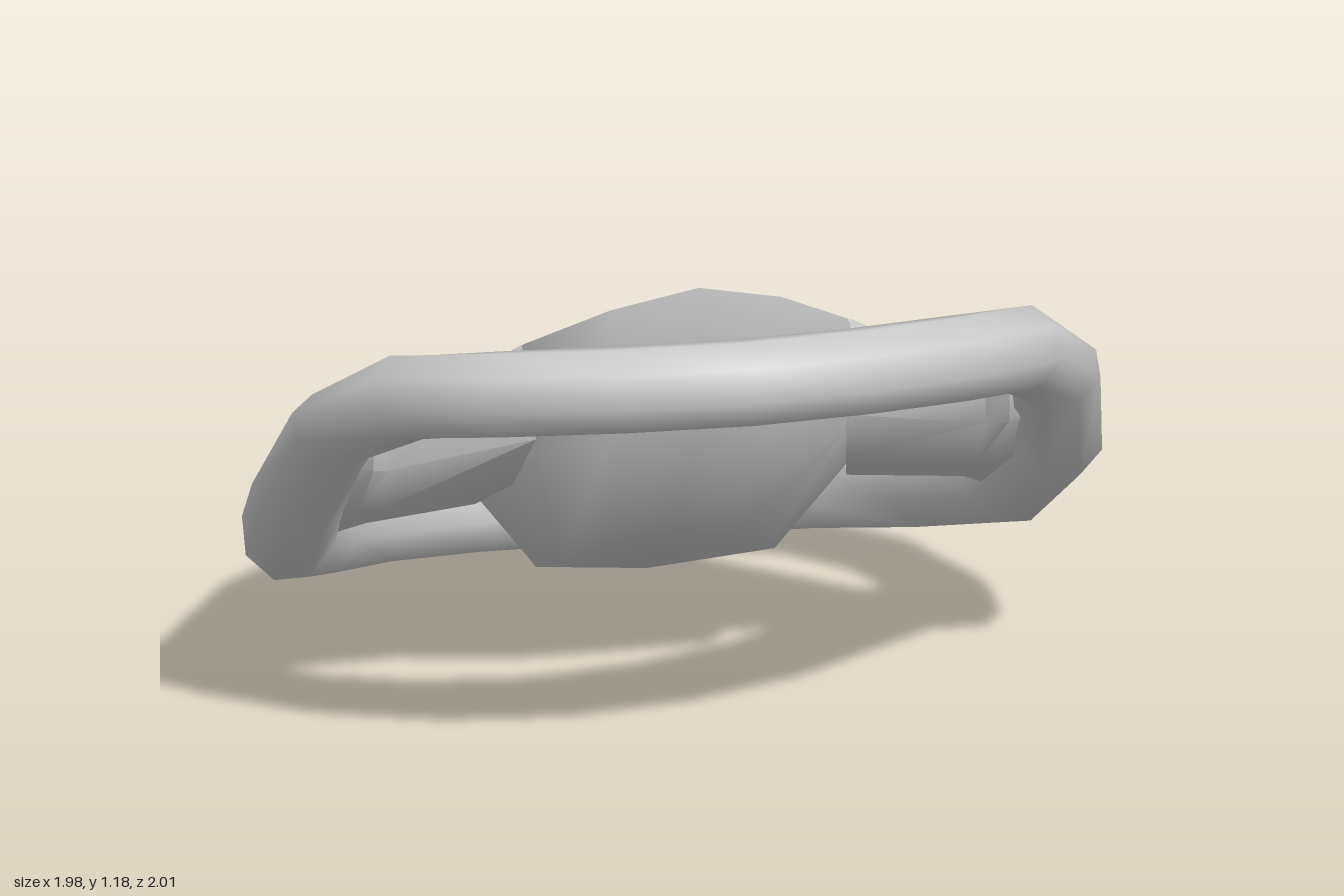
import * as THREE from 'three';
import { toCreasedNormals } from 'three/addons/utils/BufferGeometryUtils.js';

const V = (x, y, z) => new THREE.Vector3(x, y, z);

// Skin between equal-length closed cross-sections; optionally closed along the path
function loft(rings, along = false) {
  const n = rings[0].length, m = rings.length, idx = [];
  const pos = rings.flat().flatMap((p) => [p.x, p.y, p.z]);
  for (let i = 0; i < (along ? m : m - 1); i++) {
    for (let j = 0; j < n; j++) {
      const a = i * n + j, b = i * n + (j + 1) % n;
      const c = ((i + 1) % m) * n + j, d = ((i + 1) % m) * n + (j + 1) % n;
      idx.push(a, c, b, b, c, d);
    }
  }
  const g = new THREE.BufferGeometry();
  g.setAttribute('position', new THREE.Float32BufferAttribute(pos, 3));
  g.setIndex(idx);
  g.computeVertexNormals();
  return g;
}

// Half loop from front centre to back centre, mirrored to the full loop
function mirrorLoop(half) {
  const right = half.map((p) => V(...p));
  const left = half.slice(1, -1).reverse().map(([x, y, z]) => V(-x, y, z));
  return [...right, ...left];
}

// Bent rim: twenty octagonal sections along a curve that steps down to the back,
// each half-path entry giving y, z and the half thickness
function rimGeometry() {
  const half = [[0.116, -0.89, 0.121], [0.135, -0.846, 0.121], [0.184, -0.712, 0.122], [0.263, -0.47, 0.123],
    [0.378, -0.15, 0.118], [0.582, 0.155, 0.104], [0.815, 0.34, 0.09], [0.957, 0.54, 0.104],
    [1.02, 0.728, 0.104], [1.056, 0.85, 0.104], [1.068, 0.895, 0.104]];
  const path = [];
  for (let k = 0; k < 20; k++) {
    const [y, z] = half[k <= 10 ? k : 20 - k];
    path.push(V(0.889 * Math.sin(k * Math.PI / 10), y, z));
  }
  const rings = path.map((p, k) => {
    const h = k <= 10 ? k : 20 - k;
    const a = half[Math.max(h - 1, 0)], b = half[Math.min(h + 1, 10)];
    const t = path[(k + 1) % 20].clone().sub(path[(k + 19) % 20]).normalize();
    const up = V(0, b[1] - a[1], a[0] - b[0]).normalize();
    up.addScaledVector(t, -up.dot(t)).normalize();
    const out = t.clone().cross(up);
    return Array.from({ length: 8 }, (_, j) => {
      const u = (j + 0.5) * Math.PI / 4;
      return p.clone().addScaledVector(out, Math.cos(u) * 0.11).addScaledVector(up, Math.sin(u) * half[h][2]);
    });
  });
  return loft(rings, true);
}

// Deep open dish with a raised front edge
function hubGeometry() {
  const edge = mirrorLoop([[0, 1.11, 0.39], [0.2, 1.06, 0.36], [0.38, 0.95, 0.25], [0.47, 0.76, 0.03],
    [0.45, 0.69, -0.18], [0.38, 0.64, -0.35], [0.22, 0.575, -0.545], [0, 0.575, -0.55]]);
  const wall = mirrorLoop([[0, 0.80, 0.395], [0.2, 0.76, 0.37], [0.36, 0.69, 0.29], [0.43, 0.52, 0.04],
    [0.43, 0.46, -0.17], [0.34, 0.39, -0.33], [0.18, 0.40, -0.475], [0, 0.40, -0.48]]);
  const floor = mirrorLoop([[0, 0.41, 0.12], [0.13, 0.39, 0.10], [0.24, 0.33, 0.05], [0.28, 0.27, -0.08],
    [0.26, 0.23, -0.22], [0.2, 0.21, -0.29], [0.12, 0.2, -0.34], [0, 0.2, -0.35]]);
  const centre = edge.map(() => V(0, 0.21, -0.17));
  return toCreasedNormals(loft([edge, wall, floor, centre]), 1.15);
}

// Side spoke sections: top back, top middle, top front, then under the front to the bottom back
function sideSpokeGeometry(s) {
  const rings = [
    [[0.45, 0.69, -0.18], [0.47, 0.76, 0.03], [0.385, 0.95, 0.25], [0.365, 0.74, 0.315],
      [0.39, 0.58, 0.18], [0.435, 0.46, -0.02]],
    [[0.70, 0.52, -0.06], [0.70, 0.63, 0.1], [0.70, 0.785, 0.26], [0.70, 0.67, 0.26],
      [0.70, 0.54, 0.17], [0.70, 0.45, 0.02]],
    [[0.755, 0.47, -0.10], [0.755, 0.61, 0.1], [0.745, 0.775, 0.31], [0.745, 0.69, 0.31],
      [0.75, 0.54, 0.17], [0.755, 0.41, -0.04]],
    [[0.83, 0.42, -0.10], [0.83, 0.58, 0.1], [0.83, 0.74, 0.29], [0.83, 0.70, 0.28],
      [0.83, 0.56, 0.17], [0.83, 0.38, -0.06]],
  ].map((r) => r.map(([x, y, z]) => V(x * s, y, z)));
  if (s < 0) rings.forEach((r) => r.reverse());
  return toCreasedNormals(loft(rings), 0.95);
}

// Back spoke sections: pinched near the rim, then flared
function backSpokeGeometry() {
  const rings = [[0.22, 0.575, -0.545, 0.12, 0.20, -0.37], [0.13, 0.385, -0.73, 0.11, 0.18, -0.52],
    [0.13, 0.35, -0.76, 0.115, 0.15, -0.61], [0.18, 0.262, -0.83, 0.145, 0.08, -0.71],
    [0.16, 0.2, -0.88, 0.13, 0.07, -0.82]]
    .map(([w, y, z, w2, y2, z2]) => [V(w, y, z), V(-w, y, z), V(-w2, y2, z2), V(w2, y2, z2)]);
  return toCreasedNormals(loft(rings), 0.5);
}

export function createModel() {
  const group = new THREE.Group();
  const grey = new THREE.MeshStandardMaterial({ color: 0xcccccc, side: THREE.DoubleSide });
  grey.name = 'plain grey';
  const add = (name, geometry) => {
    const mesh = new THREE.Mesh(geometry, grey);
    mesh.name = name;
    group.add(mesh);
  };
  add('rim', rimGeometry());
  add('hubDish', hubGeometry());
  add('leftSpoke', sideSpokeGeometry(1));
  add('rightSpoke', sideSpokeGeometry(-1));
  add('backSpoke', backSpokeGeometry());
  return group;
}
